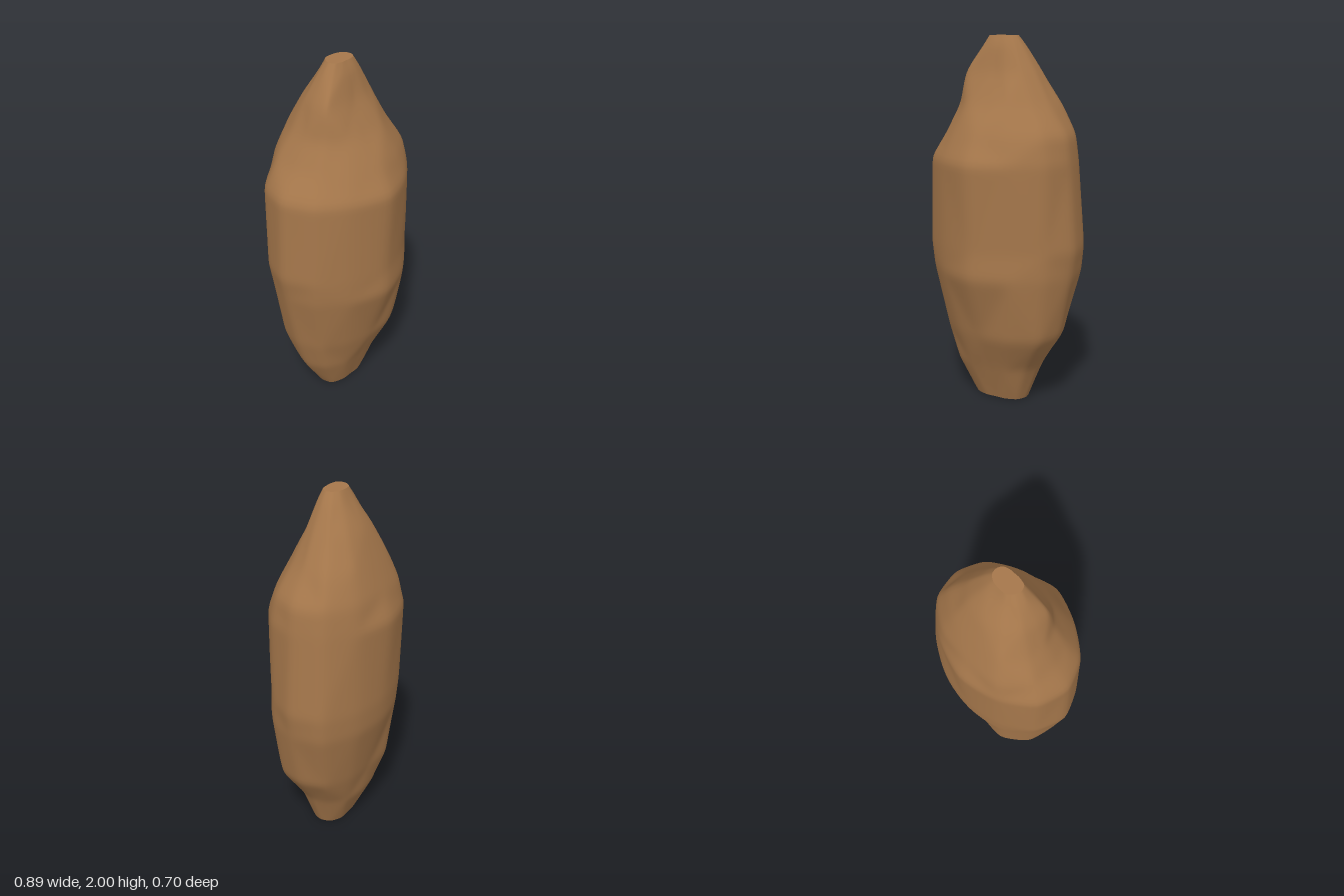
import * as THREE from 'three';

// Cross-sections: height, then the radius at twelve corners
// running from +x through +z
const SECTIONS = [
  [0.00, 0.15, 0.14, 0.105, 0.085, 0.11, 0.155, 0.16, 0.155, 0.12, 0.098, 0.12, 0.145],
  [0.20, 0.225, 0.215, 0.185, 0.158, 0.195, 0.26, 0.288, 0.27, 0.23, 0.195, 0.205, 0.225],
  [0.39, 0.358, 0.348, 0.285, 0.238, 0.26, 0.315, 0.35, 0.345, 0.305, 0.23, 0.27, 0.34],
  [0.74, 0.428, 0.395, 0.35, 0.352, 0.345, 0.395, 0.423, 0.40, 0.35, 0.318, 0.355, 0.435],
  [0.88, 0.447, 0.395, 0.34, 0.342, 0.35, 0.41, 0.453, 0.425, 0.362, 0.328, 0.365, 0.447],
  [1.35, 0.41, 0.39, 0.348, 0.36, 0.35, 0.40, 0.438, 0.428, 0.374, 0.352, 0.355, 0.41],
  [1.49, 0.392, 0.36, 0.30, 0.283, 0.285, 0.315, 0.333, 0.365, 0.345, 0.297, 0.335, 0.392],
  [1.64, 0.29, 0.26, 0.22, 0.182, 0.212, 0.24, 0.255, 0.275, 0.283, 0.243, 0.28, 0.32],
  [1.81, 0.198, 0.17, 0.125, 0.098, 0.125, 0.208, 0.198, 0.198, 0.192, 0.178, 0.195, 0.21],
  [1.95, 0.115, 0.10, 0.077, 0.066, 0.08, 0.11, 0.12, 0.115, 0.10, 0.087, 0.105, 0.12],
  [2.00, 0.078, 0.07, 0.05, 0.041, 0.053, 0.08, 0.085, 0.08, 0.075, 0.062, 0.07, 0.08],
];
const ROWS = 80, SIDES = 12, STEPS = 6, COLS = SIDES * STEPS;
const DEPTH = 0.78, BULGE = 0.4;

// Corner k of a section, spaced round an ellipse
function corner(s, k) {
  const a = (k % SIDES) * Math.PI * 2 / SIDES;
  return new THREE.Vector2(Math.cos(a), Math.sin(a) * DEPTH).setLength(SECTIONS[s][1 + k % SIDES]);
}

// Point on the faceted skin; the split of each panel alternates
function facetPoint(y, col) {
  let s = 0;
  while (s < SECTIONS.length - 2 && y > SECTIONS[s + 1][0]) s++;
  const v = (y - SECTIONS[s][0]) / (SECTIONS[s + 1][0] - SECTIONS[s][0]);
  const k = Math.floor(col / STEPS), u = (col % STEPS) / STEPS;
  let weights;
  if ((s + k) % 2) {
    weights = u > v ? [1 - u, u - v, v, 0] : [1 - v, 0, u, v - u];
  } else {
    weights = u + v < 1 ? [1 - u - v, u, 0, v] : [0, 1 - v, u + v - 1, 1 - u];
  }
  const corners = [corner(s, k), corner(s, k + 1), corner(s + 1, k + 1), corner(s + 1, k)];
  const point = new THREE.Vector2();
  let radius = 0;
  corners.forEach((c, i) => {
    point.addScaledVector(c, weights[i]);
    radius += c.length() * weights[i];
  });
  // Swell the flat panel part of the way to a rounded one
  return point.setLength(THREE.MathUtils.lerp(point.length(), radius, BULGE));
}

function buildGrid() {
  let grid = [];
  for (let i = 0; i <= ROWS; i++) {
    grid.push(Array.from({ length: COLS }, (_, j) => facetPoint(2 * i / ROWS, j)));
  }
  // Soften the ridges, leaving both end rims in place
  for (let pass = 0; pass < 3; pass++) {
    grid = grid.map((row, i) => row.map((p, j) => {
      const q = p.clone().multiplyScalar(2).add(row[(j + 1) % COLS]).add(row[(j + COLS - 1) % COLS]);
      if (i === 0 || i === ROWS) return q.divideScalar(4);
      return q.addScaledVector(p, 2).add(grid[i - 1][j]).add(grid[i + 1][j]).divideScalar(8);
    }));
  }
  return grid;
}

function makeMesh(name, positions, index, material) {
  const geometry = new THREE.BufferGeometry();
  geometry.setAttribute('position', new THREE.Float32BufferAttribute(positions, 3));
  geometry.setIndex(index);
  geometry.computeVertexNormals();
  const mesh = new THREE.Mesh(geometry, material);
  mesh.name = name;
  return mesh;
}

// Flat end face closing a rim
function makeCap(name, rim, y, up, material) {
  const positions = [0, y, 0], index = [];
  rim.forEach((p, j) => {
    positions.push(p.x, y, p.y);
    const cur = j + 1, next = (j + 1) % COLS + 1;
    index.push(0, up ? next : cur, up ? cur : next);
  });
  return makeMesh(name, positions, index, material);
}

export function createModel() {
  const group = new THREE.Group();
  group.name = 'rock';
  const brown = new THREE.MeshStandardMaterial({ color: 0xa5774b });
  brown.name = 'earthBrown';

  // Softly faceted body
  const grid = buildGrid(), positions = [], index = [];
  grid.forEach((row, i) => row.forEach((p, j) => {
    positions.push(p.x, 2 * i / ROWS, p.y);
    if (i === ROWS) return;
    const a = i * COLS + j, b = i * COLS + (j + 1) % COLS;
    index.push(a, a + COLS, b, b, a + COLS, b + COLS);
  }));
  group.add(makeMesh('body', positions, index, brown));

  // Flat tip and base
  group.add(makeCap('tip', grid[ROWS], 2, true, brown));
  group.add(makeCap('base', grid[0], 0, false, brown));
  return group;
}
